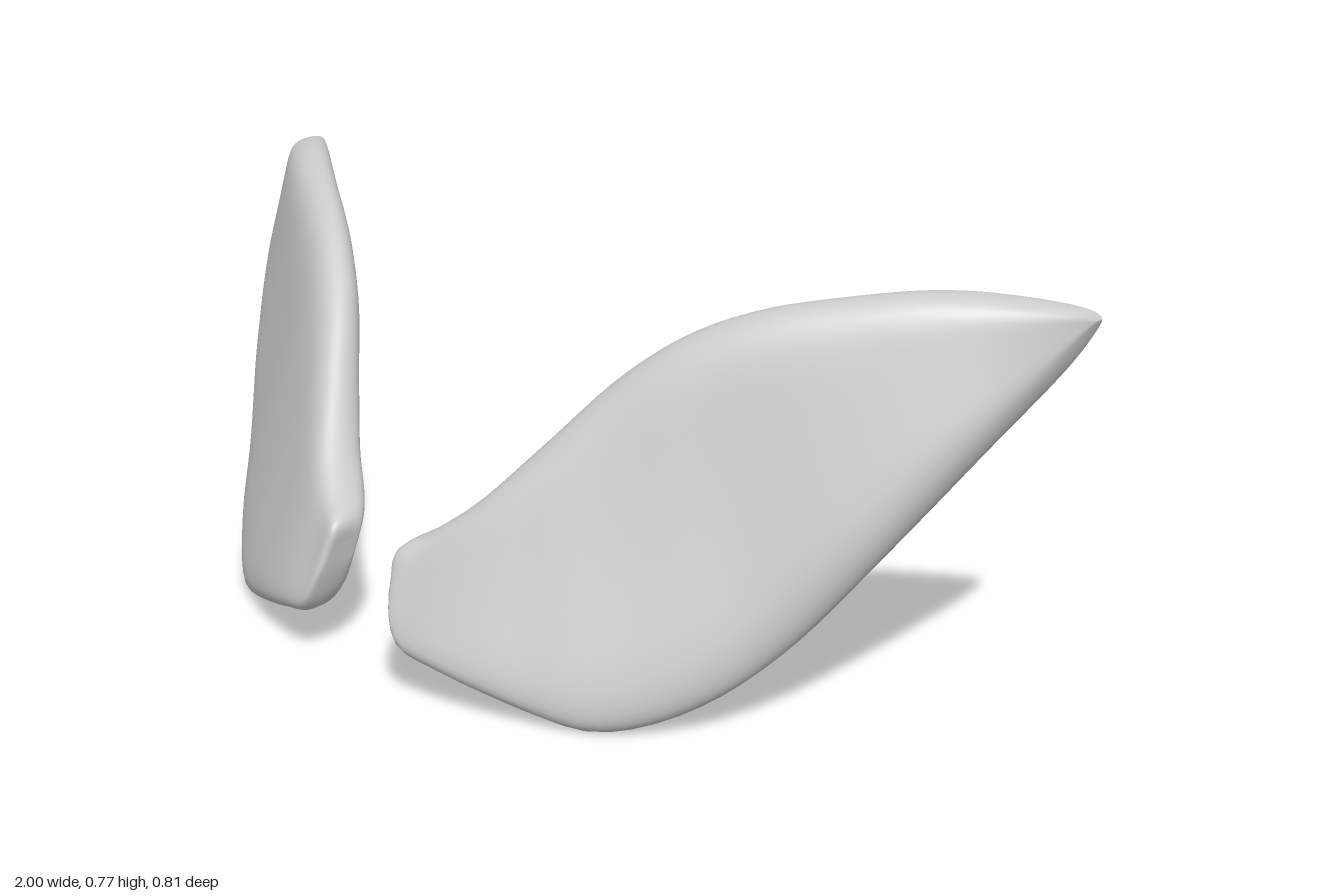
import * as THREE from 'three';

// Rim edges of one shell (x, y, z), both running from the inner end to the tip
const UPPER = [
  [0.083, 0.22, 0.335], [0.08, 0.265, 0.33], [0.13, 0.305, 0.285], [0.19, 0.36, 0.24],
  [0.27, 0.465, 0.165], [0.36, 0.585, 0.08], [0.45, 0.665, 0.015], [0.55, 0.715, -0.05],
  [0.65, 0.742, -0.115], [0.80, 0.765, -0.22], [0.92, 0.755, -0.31], [0.985, 0.735, -0.37],
  [1.0, 0.72, -0.39],
];
const LOWER = [
  [0.083, 0.22, 0.335], [0.095, 0.16, 0.36], [0.125, 0.095, 0.37], [0.20, 0.07, 0.355],
  [0.30, 0.04, 0.32], [0.40, 0.01, 0.275], [0.46, 0.0, 0.245], [0.53, 0.015, 0.195],
  [0.62, 0.07, 0.115], [0.70, 0.16, 0.025], [0.80, 0.32, -0.085], [0.90, 0.50, -0.215],
  [0.97, 0.64, -0.335], [1.0, 0.72, -0.39],
];
const STATIONS = 64;
const AROUND = 64;

const edge = (points) => new THREE.CatmullRomCurve3(
  points.map((p) => new THREE.Vector3(...p)), false, 'centripetal');

// Closed, flat-oval cross-sections spanning the two rim edges
function shellGeometry(side) {
  const upper = edge(UPPER);
  const lower = edge(LOWER);
  const positions = [];
  const index = [];
  for (let i = 0; i <= STATIONS; i++) {
    const u = (1 - Math.cos((i / STATIONS) * Math.PI)) / 2;
    const low = lower.getPointAt(u);
    const high = upper.getPointAt(u);
    const taper = Math.sqrt(Math.max(0, 1 - Math.abs(2 * u - 1) ** 7));
    for (let j = 0; j < AROUND; j++) {
      const angle = (j / AROUND) * Math.PI * 2;
      const w = -Math.cos(angle);
      const thickness = j < AROUND / 2 ? 0.062 : -0.058;
      const bulge = thickness * taper * Math.sqrt(Math.max(0, 1 - Math.abs(w) ** 7));
      const p = low.clone().lerp(high, (w + 1) / 2);
      positions.push(side * p.x, p.y, p.z + bulge);
    }
  }
  for (let i = 0; i < STATIONS; i++) {
    for (let j = 0; j < AROUND; j++) {
      const k = (j + 1) % AROUND;
      const a = i * AROUND + j, b = i * AROUND + k;
      const c = a + AROUND, d = b + AROUND;
      if (side > 0) index.push(a, c, d, a, d, b);
      else index.push(a, d, c, a, b, d);
    }
  }
  const geometry = new THREE.BufferGeometry();
  geometry.setAttribute('position', new THREE.Float32BufferAttribute(positions, 3));
  geometry.setIndex(index);
  geometry.computeVertexNormals();
  return geometry;
}

export function createModel() {
  const group = new THREE.Group();
  group.name = 'lensPair';
  const material = new THREE.MeshStandardMaterial({ color: 0xcccccc });
  for (const [name, side] of [['leftLens', 1], ['rightLens', -1]]) {
    const lens = new THREE.Mesh(shellGeometry(side), material);
    lens.name = name;
    group.add(lens);
  }
  return group;
}
